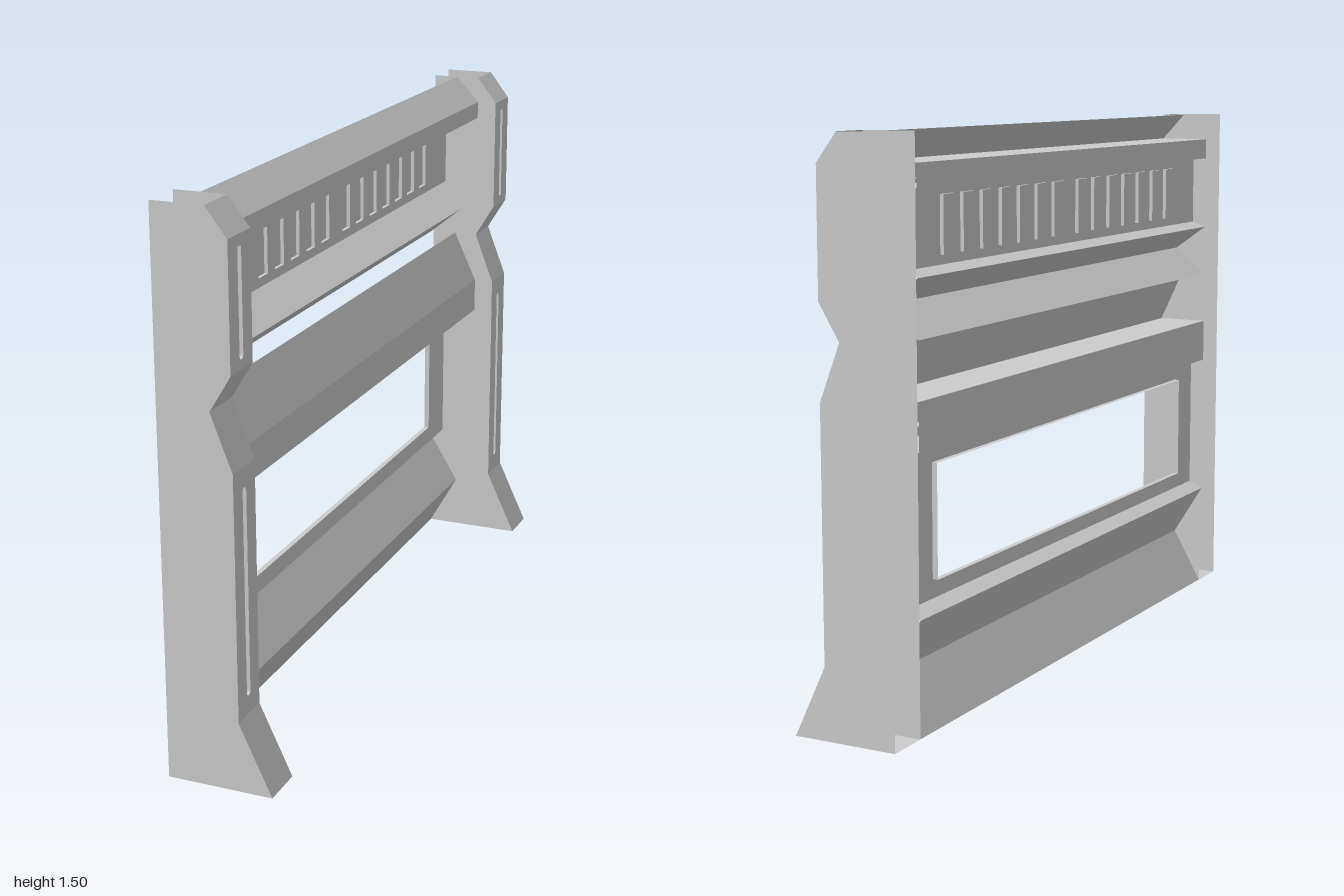
import * as THREE from 'three';
import { mergeGeometries } from 'three/addons/utils/BufferGeometryUtils.js';

const grey = new THREE.MeshStandardMaterial({ color: 0xcccccc, side: THREE.DoubleSide });

function addMesh(parent, name, geometry) {
  const mesh = new THREE.Mesh(geometry, grey);
  mesh.name = name;
  parent.add(mesh);
  return mesh;
}

// Folded sheet: a path of [x, y] points swept along z from -half to +half
function sweep(path, half) {
  const pos = [];
  for (let i = 0; i < path.length - 1; i++) {
    const [x0, y0] = path[i], [x1, y1] = path[i + 1];
    pos.push(x0, y0, half, x0, y0, -half, x1, y1, -half);
    pos.push(x0, y0, half, x1, y1, -half, x1, y1, half);
  }
  const g = new THREE.BufferGeometry();
  g.setAttribute('position', new THREE.Float32BufferAttribute(pos, 3));
  g.computeVertexNormals();
  return g;
}

// Counter-clockwise rectangle outline centred on u, between two heights
function rect(u, width, y0, y1) {
  const h = width / 2;
  return [[u - h, y0], [u + h, y0], [u + h, y1], [u - h, y1]].map(p => new THREE.Vector2(...p));
}

// Slot outline with round ends
function roundSlot(width, y0, y1) {
  const r = width / 2, pts = [];
  for (const [cy, start] of [[y0 + r, Math.PI], [y1 - r, 0]]) {
    for (let i = 0; i <= 6; i++) {
      const a = start + (i / 6) * Math.PI;
      pts.push(new THREE.Vector2(r * Math.cos(a), cy + r * Math.sin(a)));
    }
  }
  return pts;
}

// Upright face looking to +x, with pressed-in openings; closed openings get a floor
function pressedFace(x, outline, openings, depth, closed) {
  const shape = new THREE.Shape(outline);
  openings.forEach(o => shape.holes.push(new THREE.Path(o)));
  const parts = [new THREE.ShapeGeometry(shape).toNonIndexed()];
  for (const o of openings) {
    const pos = [];
    o.forEach((a, i) => {
      const b = o[(i + 1) % o.length];
      pos.push(a.x, a.y, 0, b.x, b.y, -depth, a.x, a.y, -depth);
      pos.push(a.x, a.y, 0, b.x, b.y, 0, b.x, b.y, -depth);
    });
    const rim = new THREE.BufferGeometry();
    rim.setAttribute('position', new THREE.Float32BufferAttribute(pos, 3));
    rim.computeVertexNormals();
    parts.push(rim);
    if (closed) parts.push(new THREE.ShapeGeometry(new THREE.Shape(o)).toNonIndexed().translate(0, 0, -depth));
  }
  parts.forEach(p => p.deleteAttribute('uv'));
  return mergeGeometries(parts).rotateY(Math.PI / 2).translate(x, 0, 0);
}

const BACK = -0.143, FRONT = 0.058, HEIGHT = 1.5, HALF_POST = 0.06, HALF_PANEL = 0.88;

// Hollow post, open at the back and on the flat top
function makePost() {
  const post = new THREE.Group();
  const foot = [[BACK, 0], [0.147, 0], [FRONT, 0.19]];
  const waist = [[FRONT, 0.85], [0, 1.0], [FRONT, 1.095]];
  const crown = [[FRONT, 1.425], [0, HEIGHT]];
  addMesh(post, 'foot', sweep(foot, HALF_POST));
  addMesh(post, 'waist', sweep(waist, HALF_POST));
  addMesh(post, 'crown', sweep(crown, HALF_POST));

  const faces = [['lowerFace', 0.19, 0.85, 0.24, 0.80], ['upperFace', 1.095, 1.425, 1.12, 1.40]];
  for (const [name, y0, y1, s0, s1] of faces) {
    addMesh(post, name, pressedFace(FRONT, rect(0, HALF_POST * 2, y0, y1), [roundSlot(0.02, s0, s1)], 0.01, true));
  }

  const outline = [...foot, ...waist, ...crown, [BACK, HEIGHT]].map(p => new THREE.Vector2(...p));
  const side = new THREE.ShapeGeometry(new THREE.Shape(outline));
  addMesh(post, 'outerSide', side).position.z = HALF_POST;
  addMesh(post, 'innerSide', side).position.z = -HALF_POST;
  return post;
}

// Box rail under a sloping hood; a shallow lip hangs below its front edge
function rail(bottom, lip, top, hoodTop) {
  const back = -0.147, lipX = -0.03;
  return mergeGeometries([
    sweep([[back, top], [back, lip], [lipX, lip], [lipX, bottom], [0, bottom], [0, top], [back, top]], HALF_PANEL),
    sweep([[0, top], [-0.07, hoodTop]], HALF_PANEL),
  ]);
}

// Folded wall sheet between the posts
function makePanel() {
  const panel = new THREE.Group();
  const wall = -0.105, deep = -0.147;
  addMesh(panel, 'skirt', sweep([[-0.142, 0], [-0.055, 0.155], [deep, 0.305], [wall, 0.325]], HALF_PANEL));
  addMesh(panel, 'ledge', sweep([[deep, 1.0], [-0.05, 1.08], [deep, 1.15], [wall, 1.165]], HALF_PANEL));
  addMesh(panel, 'beltRail', rail(0.75, 0.725, 0.85, 1.0));
  addMesh(panel, 'corniceRail', rail(1.375, 1.365, 1.425, HEIGHT));

  // Wall with the open window
  addMesh(panel, 'windowWall', pressedFace(wall, rect(0, HALF_PANEL * 2, 0.325, 0.725),
    [rect(0, 1.5, 0.375, 0.675)], 0.015, false));

  // Wall with two rows of seven pressed vents
  const vents = [];
  for (const s of [-1, 1]) for (let i = 0; i < 7; i++) vents.push(rect(s * (0.073 + 0.1 * i), 0.055, 1.19, 1.34));
  addMesh(panel, 'ventWall', pressedFace(wall, rect(0, HALF_PANEL * 2, 1.165, 1.365), vents, 0.01, true));
  return panel;
}

export function createModel() {
  const model = new THREE.Group();
  model.name = 'wallPanel';

  const panel = makePanel();
  panel.name = 'panel';
  model.add(panel);

  for (const s of [-1, 1]) {
    const post = makePost();
    post.name = s > 0 ? 'frontPost' : 'backPost';
    post.scale.z = s;
    post.position.z = s * 0.94;
    model.add(post);
  }
  return model;
}
